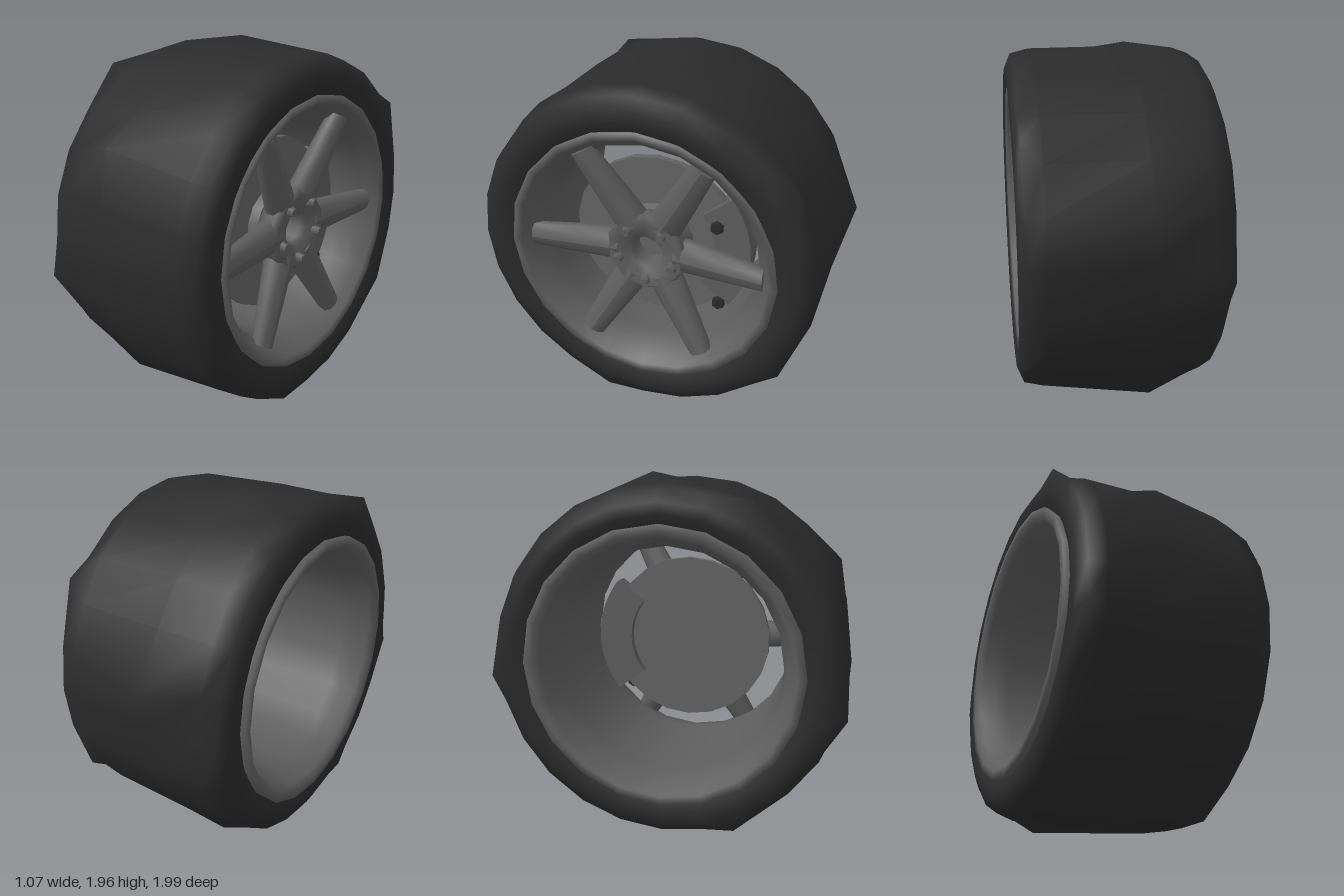
import * as THREE from 'three';
import { mergeVertices } from 'three/addons/utils/BufferGeometryUtils.js';

const flat = (name, color) => {
  const m = new THREE.MeshStandardMaterial({ color, side: THREE.DoubleSide });
  m.name = name;
  return m;
};

// Parts are built in a frame whose z axis is the axle, pointing out of the wheel face.
const lathe = (profile, sides) =>
  new THREE.LatheGeometry(profile.map(([r, a]) => new THREE.Vector2(r, a)), sides).rotateX(Math.PI / 2);

// Welds a surface and pulls its nearest corner to each target, for an uneven outline.
function pullCorners(geometry, targets) {
  geometry.deleteAttribute('uv');
  geometry.deleteAttribute('normal');
  const g = mergeVertices(geometry, 1e-4);
  const p = g.attributes.position;
  const v = new THREE.Vector3();
  for (const [x, y, z] of targets) {
    const t = new THREE.Vector3(x, y, z);
    let best = 0, bestD = Infinity;
    for (let i = 0; i < p.count; i++) {
      const d = v.fromBufferAttribute(p, i).distanceTo(t);
      if (d < bestD) { bestD = d; best = i; }
    }
    p.setXYZ(best, x, y, z);
  }
  g.computeVertexNormals();
  return g;
}

export function createModel() {
  const rubber = flat('tyre rubber', 0x2b2b2b);
  const alloy = flat('dark alloy', 0x5e5e5e);
  const steel = flat('brake steel', 0x646464);

  const model = new THREE.Group();
  const wheel = new THREE.Group();
  wheel.name = 'wheel';
  wheel.rotation.y = Math.PI / 2;
  wheel.position.set(0, 0.967, 0.03);
  model.add(wheel);
  const add = (name, geometry, material, parent = wheel) => {
    const m = new THREE.Mesh(geometry, material);
    m.name = name;
    parent.add(m);
    return m;
  };

  // Wide tyre with an uneven, coarse tread
  const tyreProfile = [
    [0.74, -0.5], [0.8, -0.525], [0.86, -0.525], [0.925, -0.49], [0.955, -0.4], [0.965, -0.1],
    [0.955, 0.4], [0.93, 0.5], [0.86, 0.53], [0.8, 0.53], [0.74, 0.5],
  ];
  add('tyre', pullCorners(lathe(tyreProfile, 24), [
    [0.14, 0.993, -0.1], [1.03, 0.215, -0.1], [0.47, -0.932, -0.2], [-0.88, 0.553, -0.1],
    [-0.79, -0.65, -0.05], [-0.46, 0.87, -0.5], [0.8, 0.585, 0.5], [0.79, -0.56, 0.5],
    [-0.96, -0.2, -0.5], [-0.4, -0.877, -0.5], [-0.22, -0.935, 0.5], [0.96, -0.1, -0.5],
  ]), rubber);

  // Rim: outer lip, stepped face, barrel and inner lip
  add('rimBarrel', lathe([
    [0.75, -0.48], [0.755, -0.535], [0.71, -0.535], [0.68, -0.5], [0.655, -0.42], [0.625, -0.35],
    [0.62, 0.3], [0.64, 0.41], [0.69, 0.45], [0.705, 0.51], [0.75, 0.52], [0.755, 0.46],
  ], 20), alloy);

  // Hub with an open centre bore
  add('hub', lathe([
    [0.09, 0.28], [0.2, 0.28], [0.235, 0.33], [0.235, 0.4], [0.21, 0.43], [0.1, 0.4], [0.09, 0.36], [0.09, 0.28],
  ], 10), alloy);

  // Six tapered spokes leaning outward to the rim
  const spokes = new THREE.Group();
  spokes.name = 'spokes';
  wheel.add(spokes);
  for (let i = 0; i < 6; i++) {
    const g = new THREE.CylinderGeometry(0.07, 0.105, 0.5, 10, 2).scale(1, 1, 0.75).translate(0, 0.41, 0);
    const p = g.attributes.position;
    for (let k = 0; k < p.count; k++) p.setZ(k, p.getZ(k) + 0.325 + 0.15 * p.getY(k));
    g.computeVertexNormals();
    add('spoke', g.rotateZ(-Math.PI / 2 + i * Math.PI / 3), alloy, spokes);
  }

  // Five wheel nuts
  for (let i = 0; i < 5; i++) {
    const a = -Math.PI / 2 + i * Math.PI * 0.4;
    const g = new THREE.CylinderGeometry(0.024, 0.034, 0.05, 5).rotateX(Math.PI / 2);
    add('wheelNut', g, alloy).position.set(0.165 * Math.cos(a), 0.165 * Math.sin(a), 0.43);
  }

  // Brake disc with its raised centre
  add('brakeDisc', new THREE.CylinderGeometry(0.49, 0.49, 0.04, 22).rotateX(Math.PI / 2), steel).position.z = 0.21;
  add('discCentre', new THREE.CylinderGeometry(0.2, 0.22, 0.06, 14).rotateX(Math.PI / 2), steel).position.z = 0.25;

  // Brake caliper straddling the rear edge of the disc
  const arc = new THREE.Shape();
  arc.absarc(0, 0, 0.55, -0.66, 0.66, false);
  arc.absarc(0, 0, 0.35, 0.66, -0.66, true);
  arc.closePath();
  add('caliper', new THREE.ExtrudeGeometry(arc, { depth: 0.13, bevelEnabled: false, curveSegments: 6 }), alloy)
    .position.z = 0.14;
  for (const [x, y] of [[0.36, 0.16], [0.38, -0.33]]) {
    add('caliperBolt', new THREE.CylinderGeometry(0.035, 0.04, 0.03, 6).rotateX(Math.PI / 2), rubber)
      .position.set(x, y, 0.28);
  }
  return model;
}
